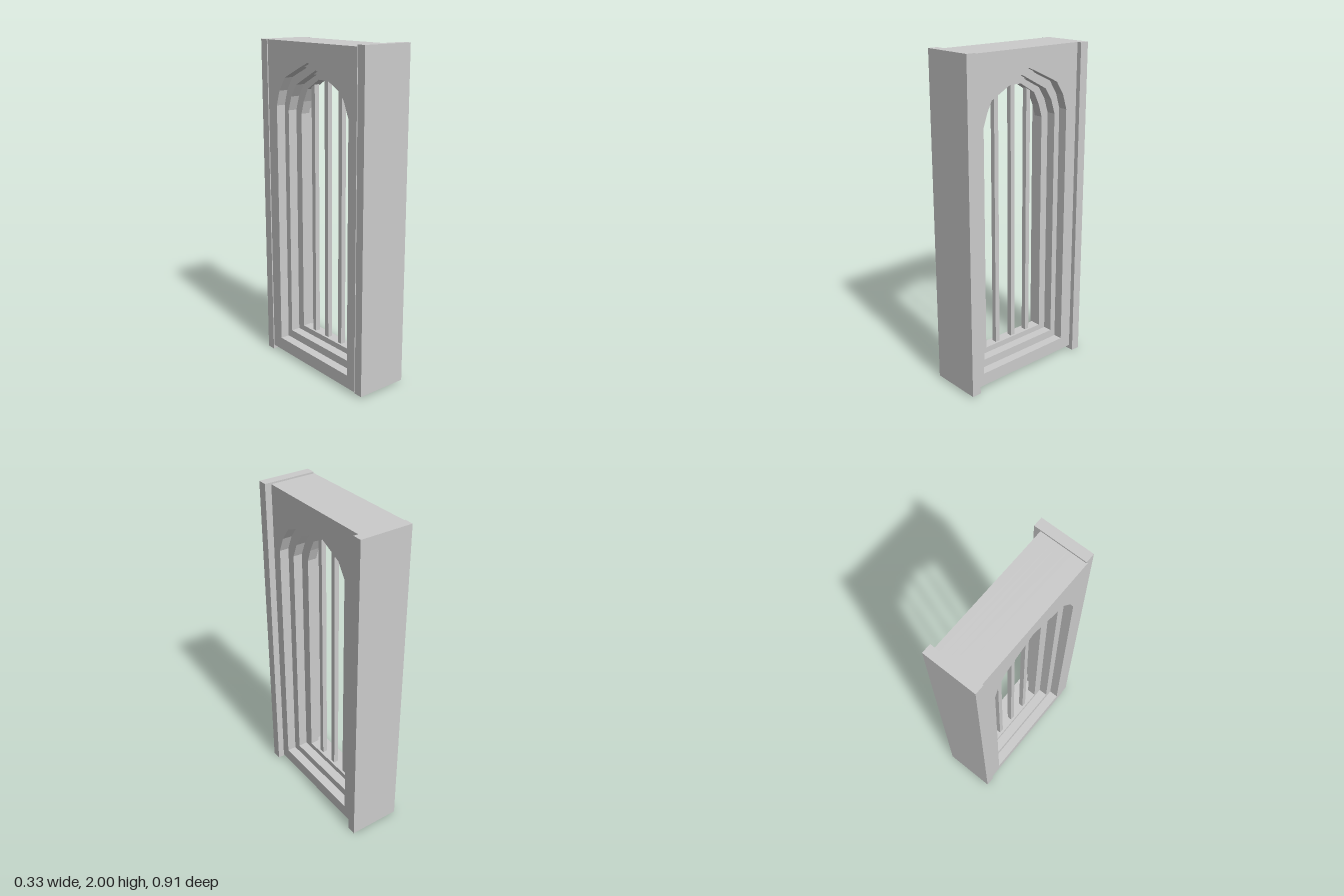
import * as THREE from 'three';

const material = new THREE.MeshStandardMaterial({ color: 0xcccccc, flatShading: true });

export function createModel() {
  const model = new THREE.Group();
  model.name = 'archedWindow';

  const add = (name, geometry) => {
    const mesh = new THREE.Mesh(geometry, material);
    mesh.name = name;
    model.add(mesh);
  };
  const addBox = (name, [x0, x1], [y0, y1], [z0, z1]) => add(name,
    new THREE.BoxGeometry(x1 - x0, y1 - y0, z1 - z0)
      .translate((x0 + x1) / 2, (y0 + y1) / 2, (z0 + z1) / 2));

  // Arched openings as [z, y] outlines, from the widest to the narrowest
  const outer = {
    left: [[0.333, 0.105], [0.333, 1.61], [0.295, 1.70], [0.235, 1.78], [0.055, 1.85]],
    right: [[-0.085, 1.85], [-0.235, 1.78], [-0.288, 1.70], [-0.317, 1.61], [-0.317, 0.105]],
    tip: [-0.016, 1.88],
  };
  const middle = {
    left: [[0.28, 0.155], [0.28, 1.58], [0.245, 1.665], [0.193, 1.738], [0.04, 1.807]],
    right: [[-0.07, 1.807], [-0.202, 1.738], [-0.25, 1.665], [-0.278, 1.58], [-0.278, 0.155]],
    tip: [-0.016, 1.835],
  };
  const inner = {
    left: [[0.218, 0.19], [0.218, 1.56], [0.192, 1.635], [0.157, 1.705], [0.022, 1.775]],
    right: [[-0.062, 1.775], [-0.166, 1.712], [-0.205, 1.635], [-0.228, 1.56], [-0.228, 0.19]],
  };

  // One wall layer between two x positions, pierced by an arch
  const addLayer = (name, arch, pointed, x0, x1) => {
    const points = (list) => list.map(([z, y]) => new THREE.Vector2(z, y));
    const shape = new THREE.Shape(points([[-0.4, 0.025], [0.4, 0.025], [0.4, 1.99], [-0.4, 1.99]]));
    const outline = [...arch.left, ...(pointed ? [arch.tip] : []), ...arch.right];
    shape.holes.push(new THREE.Path(points(outline)));
    const geometry = new THREE.ExtrudeGeometry(shape, { depth: x1 - x0, bevelEnabled: false });
    add(name, geometry.rotateY(-Math.PI / 2).translate(x1, 0, 0));
  };

  // Stepped wall, symmetric about its middle plane; arch tips are shallow notches
  const cx = -0.018;
  const step = 0.0574;
  addLayer('innerArch', inner, false, cx - step / 2, cx + step / 2);
  for (const side of [-1, 1]) {
    const slab = (name, arch, pointed, a, b) => {
      const xs = [cx + side * a * step, cx + side * b * step].sort((p, q) => p - q);
      addLayer(name, arch, pointed, xs[0], xs[1]);
    };
    slab('middleArch', middle, false, 0.5, 1);
    slab('middleArchPointed', middle, true, 1, 1.5);
    slab('outerArch', outer, false, 1.5, 2);
    slab('outerArchPointed', outer, true, 2, 2.5);
  }

  // Vertical bars in the opening
  for (const z of [0.114, -0.011, -0.132]) {
    addBox('bar', [cx - 0.015, cx + 0.015], [0.18, 1.785], [z - 0.015, z + 0.015]);
  }

  // End posts, slightly offset from each other
  addBox('frontPost', [-0.157, 0.166], [0.015, 2], [0.395, 0.454]);
  addBox('backPost', [-0.168, 0.154], [0, 1.99], [-0.454, -0.397]);

  return model;
}
